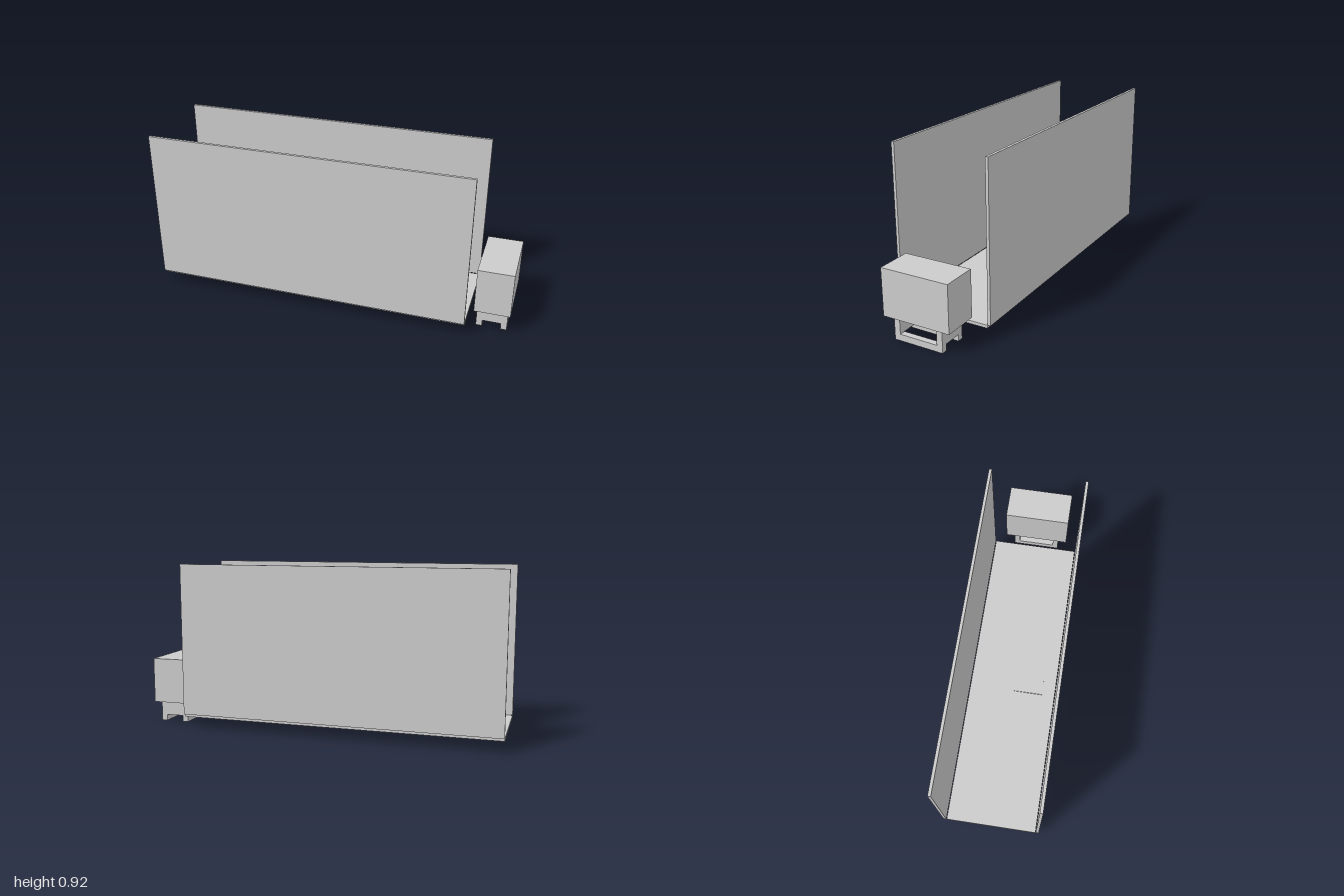
import * as THREE from 'three';

const grey = new THREE.MeshStandardMaterial({ color: 0xcccccc, flatShading: true });

// Box given by its minimum and maximum on each axis
function block(name, [x0, x1], [y0, y1], [z0, z1]) {
  const mesh = new THREE.Mesh(new THREE.BoxGeometry(x1 - x0, y1 - y0, z1 - z0), grey);
  mesh.position.set((x0 + x1) / 2, (y0 + y1) / 2, (z0 + z1) / 2);
  mesh.name = name;
  return mesh;
}

export function createModel() {
  const model = new THREE.Group();
  model.name = 'openTrough';

  // Long trough: floor and two tall side panels
  const trough = new THREE.Group();
  trough.name = 'trough';
  const length = [-1, 0.772];
  trough.add(
    block('floor', length, [0.062, 0.079], [-0.253, 0.253]),
    block('frontPanel', length, [0.079, 0.922], [0.255, 0.271]),
    block('backPanel', length, [0.079, 0.922], [-0.271, -0.255]),
    block('floorPad', [-0.2, -0.032], [0.079, 0.086], [0.009, 0.178])
  );
  // Two cross rails under the floor
  for (const x of [-0.2, -0.065]) {
    trough.add(block('crossRail', [x, x + 0.033], [0.045, 0.062], [-0.172, 0.173]));
  }
  model.add(trough);

  // Separate box standing on a frame at the end
  const endUnit = new THREE.Group();
  endUnit.name = 'endUnit';
  endUnit.add(block('endBox', [0.806, 1], [0.12, 0.374], [-0.189, 0.19]));
  for (const z of [-0.138, 0.107]) {
    endUnit.add(block('legPlate', [0.818, 0.984], [0.035, 0.12], [z, z + 0.032]));
  }
  for (const x of [0.818, 0.951]) {
    endUnit.add(block('footRunner', [x, x + 0.033], [0, 0.035], [-0.138, 0.139]));
  }
  model.add(endUnit);

  return model;
}
